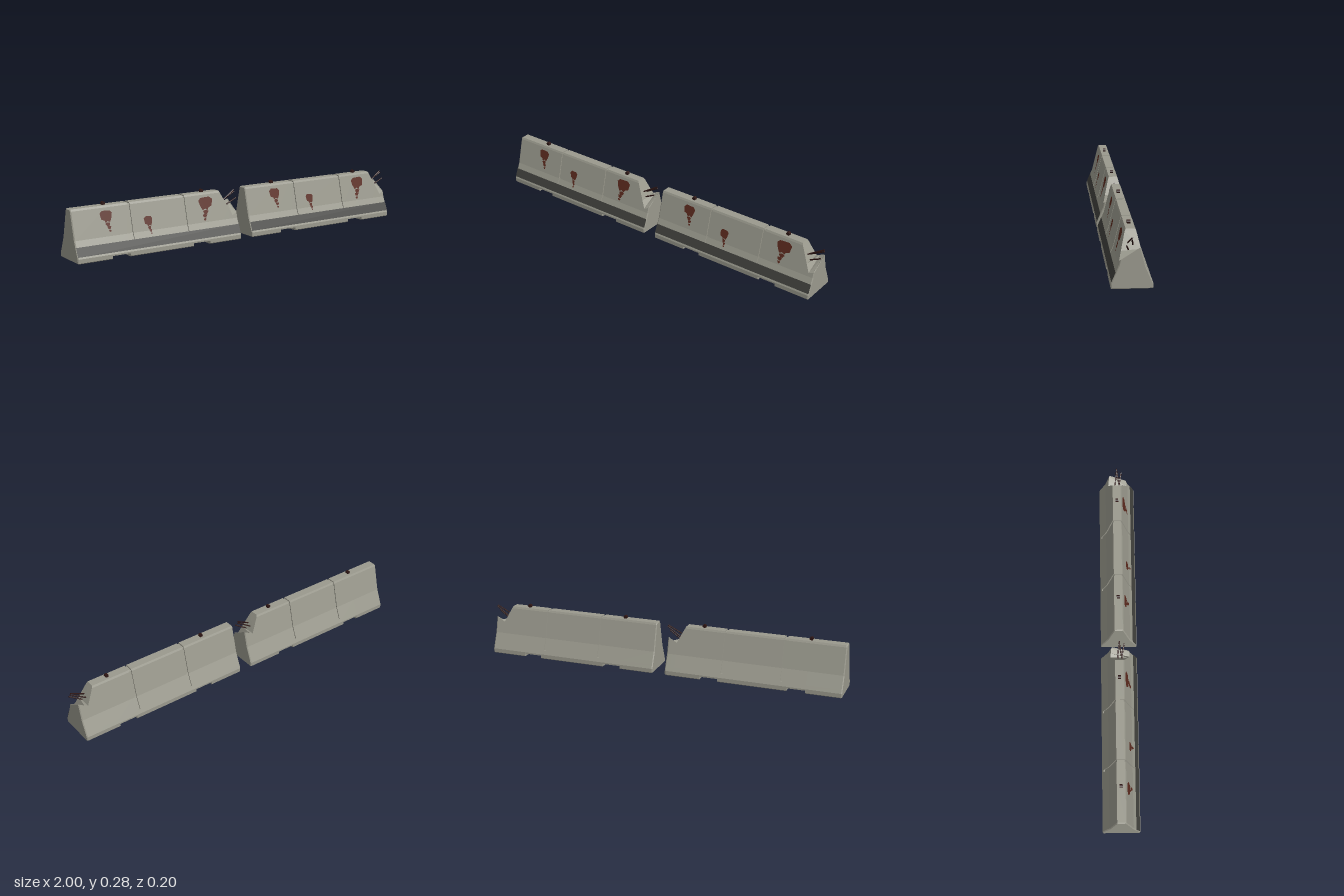
import * as THREE from 'three';

const LENGTH = 0.955, TOP = 0.26;
const paint = (color, extra = {}) => new THREE.MeshStandardMaterial({ color, flatShading: true, ...extra });
const concrete = paint(0x9a998d);
const bandMat = paint(0x3f3f3b, { side: THREE.DoubleSide });
const rust = paint(0x5c2a1e, { side: THREE.DoubleSide });
const steel = paint(0x2e1614);

// piecewise linear lookup in [[key, value], ...]
function lookup(table, k) {
  if (k <= table[0][0]) return table[0][1];
  for (let i = 1; i < table.length; i++) {
    const [k0, v0] = table[i - 1], [k1, v1] = table[i];
    if (k <= k1) return v0 + (v1 - v0) * (k - k0) / (k1 - k0);
  }
  return table[table.length - 1][1];
}

// half thickness of the barrier by height
const halfWidth = y => lookup([[0, 0.094], [0.004, 0.098], [0.025, 0.098], [0.11, 0.062], [0.25, 0.027], [TOP, 0.022]], y);
// height of the broken corner along the front and back faces
const breakFront = x => lookup([[0.86, TOP], [0.925, 0.127], [LENGTH, 0.14]], x);
const breakBack = x => lookup([[0.86, TOP], [0.905, 0.172], [LENGTH, 0.197]], x);

const GROOVE_END = 0.045;
const LEVELS = [0, 0.004, 0.025, GROOVE_END, GROOVE_END, 0.11, 0.25, TOP];

// one cross-section: matching points up the front and up the back
function section({ x, floor = 0, inset = 0, groove = 0 }) {
  const side = (sign, limit) => LEVELS.map((level, i) => {
    const top = Math.min(limit, TOP - inset - groove);
    const y = Math.min(Math.max(level, floor + inset), top);
    const cut = inset + (i >= 4 ? groove : 0);
    return new THREE.Vector3(x, y, sign * (halfWidth(y) - cut));
  });
  return { front: side(1, breakFront(x)), back: side(-1, breakBack(x)) };
}

// stations along the barrier: bevelled ends, foot notches, grooves, broken corner
function stations() {
  const list = [{ x: 0, inset: 0.004 }, { x: 0.005 }];
  const step = (x0, x1, change) => list.push({ x: x0 }, { x: x0, ...change }, { x: x1, ...change }, { x: x1 });
  step(0.19, 0.29, { floor: 0.017 });
  step(0.314, 0.326, { groove: 0.006 });
  step(0.634, 0.646, { groove: 0.006 });
  step(0.66, 0.76, { floor: 0.017 });
  for (const x of [0.86, 0.865, 0.905, 0.925, 0.95]) list.push({ x });
  list.push({ x: LENGTH, inset: 0.004 });
  return list;
}

function bodyGeometry() {
  const pos = [];
  const quad = (a, b, c, d) => { for (const p of [a, b, c, a, c, d]) pos.push(p.x, p.y, p.z); };
  const secs = stations().map(section);
  const rings = secs.map(s => [...s.front, ...[...s.back].reverse()]);
  for (let s = 0; s + 1 < rings.length; s++) {
    const r = rings[s], q = rings[s + 1];
    for (let i = 0; i < r.length; i++) {
      const j = (i + 1) % r.length;
      quad(r[i], q[i], q[j], r[j]);
    }
  }
  // end faces
  const first = secs[0], last = secs[secs.length - 1];
  for (let i = 0; i + 1 < LEVELS.length; i++) {
    quad(first.front[i], first.front[i + 1], first.back[i + 1], first.back[i]);
    quad(last.back[i], last.back[i + 1], last.front[i + 1], last.front[i]);
  }
  const g = new THREE.BufferGeometry();
  g.setAttribute('position', new THREE.Float32BufferAttribute(pos, 3));
  g.computeVertexNormals();
  return g;
}

// flat outline laid on the sloping front face
function patch(points, lift) {
  const g = new THREE.ShapeGeometry(new THREE.Shape(points.map(p => new THREE.Vector2(...p))));
  const p = g.attributes.position;
  for (let i = 0; i < p.count; i++) p.setZ(i, halfWidth(p.getY(i)) + lift);
  g.computeVertexNormals();
  return g;
}

function add(parent, name, geometry, material) {
  const mesh = new THREE.Mesh(geometry, material);
  mesh.name = name;
  parent.add(mesh);
  return mesh;
}

// main blotch plus drips: x offset and height below the stain's top
const BLOTCH = [[-0.034, -0.012], [-0.02, 0], [0.022, -0.002], [0.034, -0.014], [0.028, -0.038],
  [0.018, -0.058], [0.005, -0.052], [-0.006, -0.06], [-0.012, -0.048], [-0.028, -0.042]];
const DRIPS = [[0.004, -0.068, 0.013], [0.01, -0.084, 0.011], [0.012, -0.1, 0.007]];

function addStain(parent, x, top, scale, mirror) {
  const stain = new THREE.Group();
  stain.name = 'rustStain';
  const place = ([dx, dy]) => [x + dx * scale * mirror, top + dy * (scale + 1) / 2];
  add(stain, 'rustBlotch', patch(BLOTCH.map(place), 0.002), rust);
  for (const [dx, dy, r] of DRIPS) {
    const outline = [[-1, 0.3], [-0.2, 0.8], [1, 0.5], [0.7, -0.5], [-0.3, -0.8]];
    add(stain, 'rustDrip', patch(outline.map(([u, v]) => place([dx + u * r, dy + v * r])), 0.002), rust);
  }
  parent.add(stain);
}

function addRod(parent, from, to) {
  const a = new THREE.Vector3(...from), b = new THREE.Vector3(...to);
  const dir = b.clone().sub(a);
  const rod = add(parent, 'rebar', new THREE.CylinderGeometry(0.0035, 0.0035, dir.length(), 6), steel);
  rod.position.copy(a).add(b).multiplyScalar(0.5);
  rod.quaternion.setFromUnitVectors(new THREE.Vector3(0, 1, 0), dir.normalize());
}

function createBarrier() {
  const barrier = new THREE.Group();
  barrier.name = 'barrier';
  add(barrier, 'concreteBody', bodyGeometry(), concrete);

  // dark painted band along the front foot
  add(barrier, 'darkBand', patch([[0.002, 0.034], [LENGTH - 0.002, 0.034], [LENGTH - 0.002, 0.079], [0.002, 0.079]], 0.001), bandMat);

  // rusty lifting lugs on top
  for (const x of [0.19, 0.765]) {
    const lug = add(barrier, 'liftingLug', new THREE.CylinderGeometry(0.01, 0.01, 0.016, 8).rotateX(Math.PI / 2), steel);
    lug.position.set(x, 0.267, 0);
  }

  addStain(barrier, 0.187, 0.236, 1, 1);
  addStain(barrier, 0.418, 0.182, 0.72, 1);
  addStain(barrier, 0.768, 0.238, 1.25, -1);

  // bent reinforcement sticking out of the broken corner
  addRod(barrier, [0.87, 0.19, 0.018], [0.97, 0.25, 0]);
  addRod(barrier, [0.87, 0.18, -0.011], [0.973, 0.242, 0.002]);
  addRod(barrier, [0.88, 0.16, 0.009], [0.968, 0.212, 0.027]);
  return barrier;
}

export function createModel() {
  const model = new THREE.Group();
  model.name = 'roadBarriers';
  for (const x of [-1, 0.025]) {
    const barrier = createBarrier();
    barrier.position.x = x;
    model.add(barrier);
  }
  return model;
}
